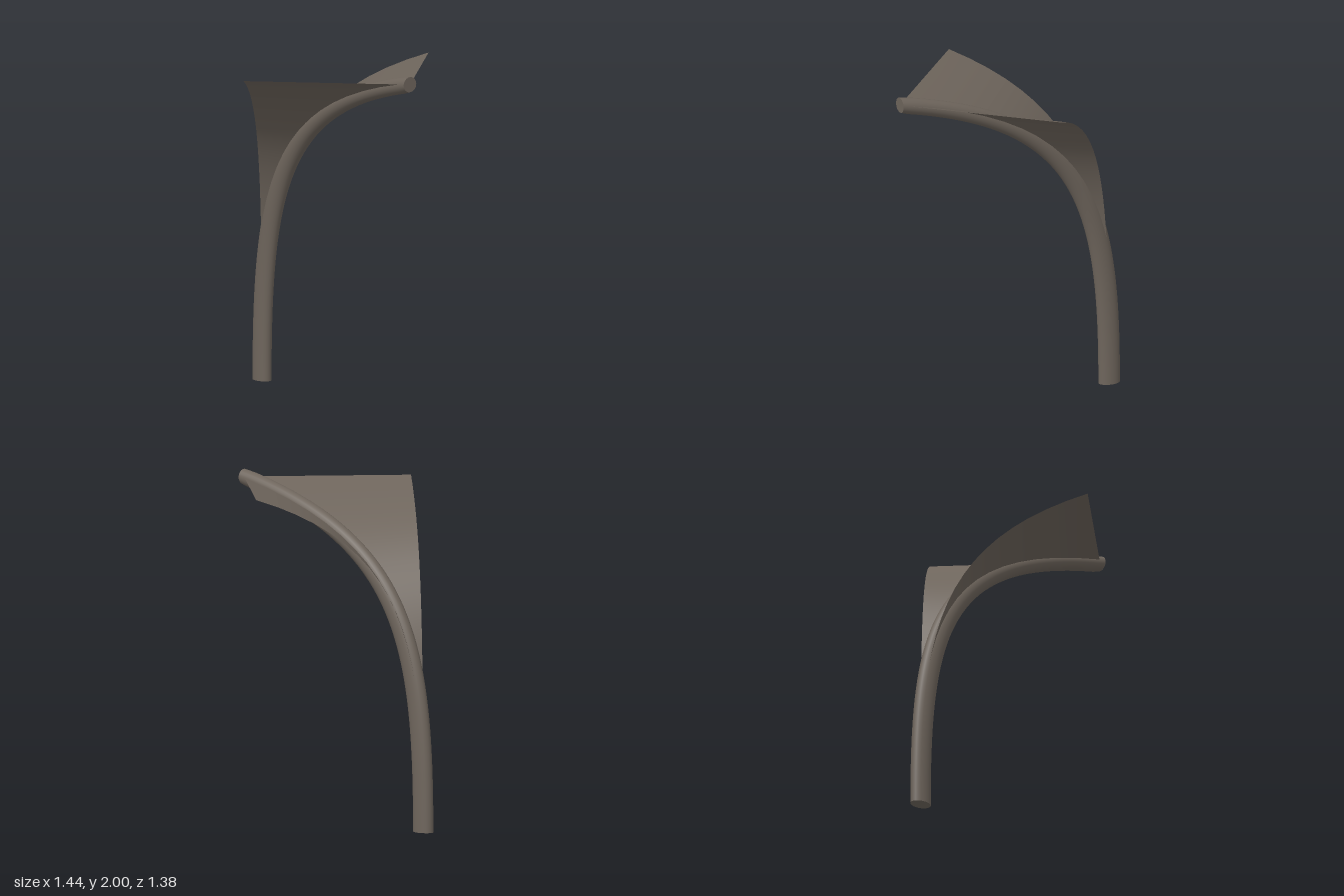
import * as THREE from 'three';

const X0 = -0.655, SPAN = 1.375, STRETCH = 1.42, R = 0.047;

// Side profile of the stem: x = along, y = height
const profile = new THREE.CubicBezierCurve(
  new THREE.Vector2(0, 0),
  new THREE.Vector2(0, 1.1),
  new THREE.Vector2(0.1, 1.68),
  new THREE.Vector2(1, 1.955)
);

// Round tube widened along x, with its tip cut off vertically
function stemGeometry() {
  const at = (u, y) => new THREE.Vector3((X0 + SPAN * u) / STRETCH, y, 0);
  const path = new THREE.CubicBezierCurve3(
    ...[profile.v0, profile.v1, profile.v2, profile.v3].map((p) => at(p.x, p.y))
  );
  const segments = 48, sides = 24;
  const geometry = new THREE.TubeGeometry(path, segments, R, sides, false);
  geometry.scale(STRETCH, 1, 1);
  const pos = geometry.attributes.position;
  for (let j = 0; j <= sides; j++) pos.setX(segments * (sides + 1) + j, X0 + SPAN);
  return geometry;
}

// One half of the leaf: level strips running diagonally outward from the stem
function leafGeometry(side) {
  const rows = 20, positions = [], index = [];
  for (let i = 0; i <= rows; i++) {
    const p = profile.getPoint(i / rows);
    const reach = (SPAN / 2) * p.x;
    positions.push(X0 + SPAN * p.x, p.y, 0);
    positions.push(X0 + SPAN * p.x - reach, p.y, side * reach);
    if (i === rows) continue;
    const a = 2 * i, b = a + 1, c = a + 2, d = a + 3;
    if (side > 0) index.push(a, b, d, a, d, c);
    else index.push(a, d, b, a, c, d);
  }
  const geometry = new THREE.BufferGeometry();
  geometry.setAttribute('position', new THREE.Float32BufferAttribute(positions, 3));
  geometry.setIndex(index);
  geometry.computeVertexNormals();
  return geometry;
}

export function createModel() {
  const group = new THREE.Group();
  group.name = 'curvedStemWithLeaf';
  const material = new THREE.MeshStandardMaterial({ color: 0x6e655c, side: THREE.DoubleSide });
  material.name = 'warmGrey';
  const add = (name, geometry) => {
    const mesh = new THREE.Mesh(geometry, material);
    mesh.name = name;
    group.add(mesh);
    return mesh;
  };

  add('stem', stemGeometry());

  // End caps
  const foot = add('stemFoot', new THREE.CircleGeometry(R, 24).scale(STRETCH, 1, 1).rotateX(Math.PI / 2));
  foot.position.set(X0, 0, 0);
  const tip = add('stemTip', new THREE.CircleGeometry(R, 24).scale(1, 0.955, 1).rotateY(Math.PI / 2));
  tip.position.set(X0 + SPAN, 1.955, 0);

  // Leaf halves
  add('leftLeaf', leafGeometry(1));
  add('rightLeaf', leafGeometry(-1));
  return group;
}
